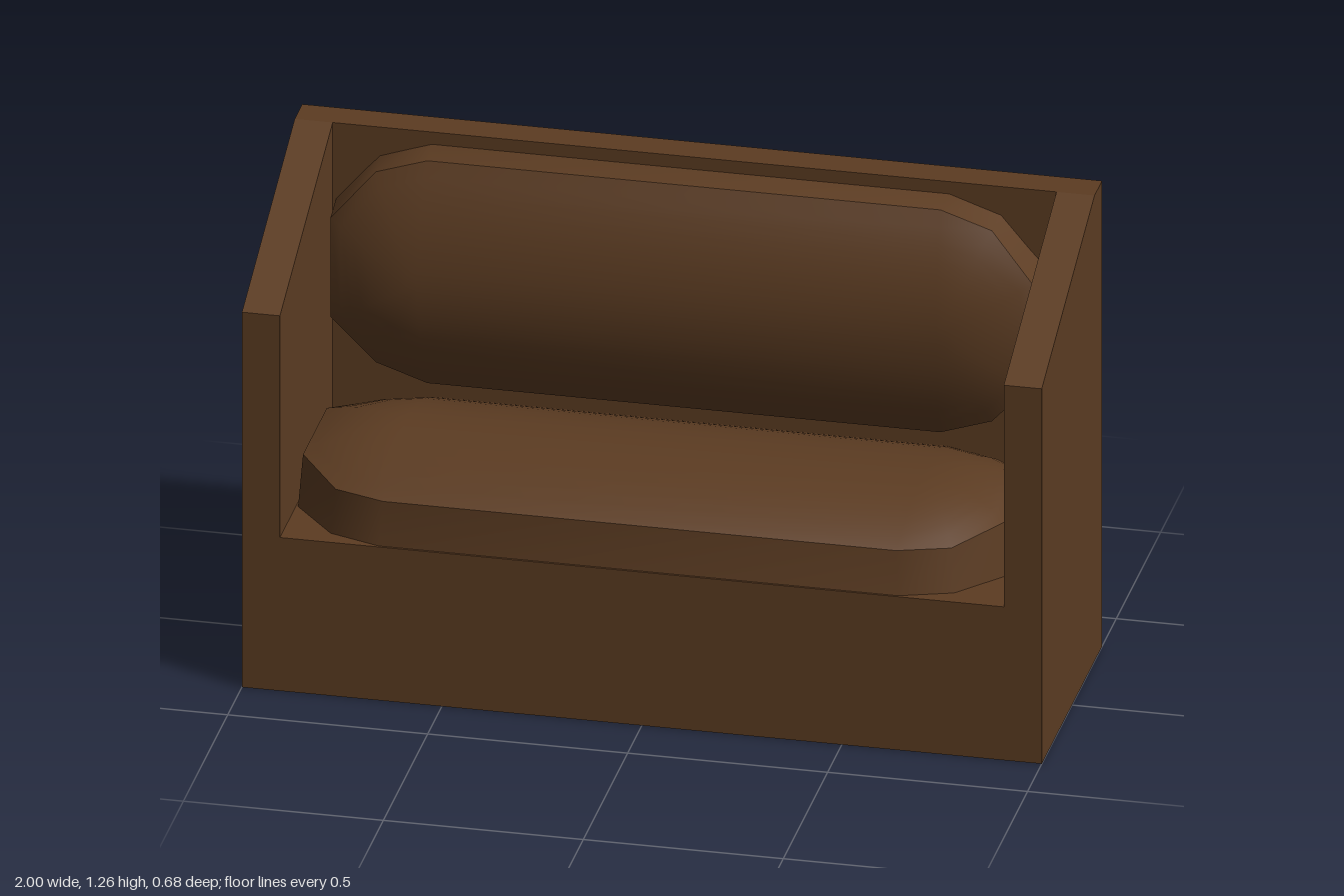
import * as THREE from 'three';
import { toCreasedNormals } from 'three/addons/utils/BufferGeometryUtils.js';

const brown = new THREE.MeshStandardMaterial({ color: 0x5c3c22 });
brown.name = 'brown';

function add(parent, name, geometry, x, y, z) {
  const mesh = new THREE.Mesh(geometry, brown);
  mesh.name = name;
  mesh.position.set(x, y, z);
  parent.add(mesh);
  return mesh;
}

// Pillow with cut corners: rings run up the side wall, then inward over the dome to a central ridge
function cushionGeometry() {
  const quarter = [[0.89, 0.14], [0.78, 0.27], [0.65, 0.315]];
  const mirror = (sx, sz) => quarter.map(([x, z]) => [x * sx, z * sz]);
  const outline = [
    ...mirror(1, 1), ...mirror(-1, 1).reverse(),
    ...mirror(-1, -1), ...mirror(1, -1).reverse(),
  ];
  const n = outline.length;
  const steps = 8;
  const positions = [];
  const index = [];
  outline.forEach(([x, z]) => positions.push(x, -0.005, z));
  for (let s = 0; s <= steps; s++) {
    const t = s / steps;
    for (const [x, z] of outline) {
      const rim = Math.abs(x) > 0.8 ? 0.14 : 0.115;
      const ridgeX = THREE.MathUtils.clamp(x, -0.65, 0.65);
      positions.push(
        THREE.MathUtils.lerp(x * 0.987, ridgeX, t),
        rim + (0.197 - rim) * (1 - (1 - t) ** 2),
        z * 0.955 * (1 - t),
      );
    }
  }
  for (let r = 0; r <= steps; r++) {
    for (let i = 0; i < n; i++) {
      const a = r * n + i;
      const b = r * n + (i + 1) % n;
      index.push(a, a + n, b, b, a + n, b + n);
    }
  }
  const geometry = new THREE.BufferGeometry();
  geometry.setAttribute('position', new THREE.Float32BufferAttribute(positions, 3));
  geometry.setIndex(index);
  return toCreasedNormals(geometry, 0.6);
}

export function createModel() {
  const sofa = new THREE.Group();
  sofa.name = 'sofa';

  // Sloped side panels, drawn as a (z, y) profile
  const profile = new THREE.Shape([
    [0.34, 0], [0.34, 1.015], [-0.255, 1.26], [-0.34, 1.26], [-0.34, 0],
  ].map(([z, y]) => new THREE.Vector2(z, y)));
  const side = new THREE.ExtrudeGeometry(profile, { depth: 0.095, bevelEnabled: false });
  side.rotateY(-Math.PI / 2);
  add(sofa, 'leftSide', side, 1, 0, 0);
  add(sofa, 'rightSide', side, -0.905, 0, 0);

  // Solid base and back panel
  add(sofa, 'base', new THREE.BoxGeometry(1.81, 0.415, 0.68), 0, 0.2075, 0);
  add(sofa, 'backPanel', new THREE.BoxGeometry(1.81, 0.845, 0.085), 0, 0.8375, -0.2975);

  // Matching cushions, one lying and one upright
  const cushion = cushionGeometry();
  add(sofa, 'seatCushion', cushion, -0.01, 0.415, 0.02);
  add(sofa, 'backCushion', cushion, -0.01, 0.917, -0.295).rotation.x = Math.PI / 2;

  return sofa;
}
